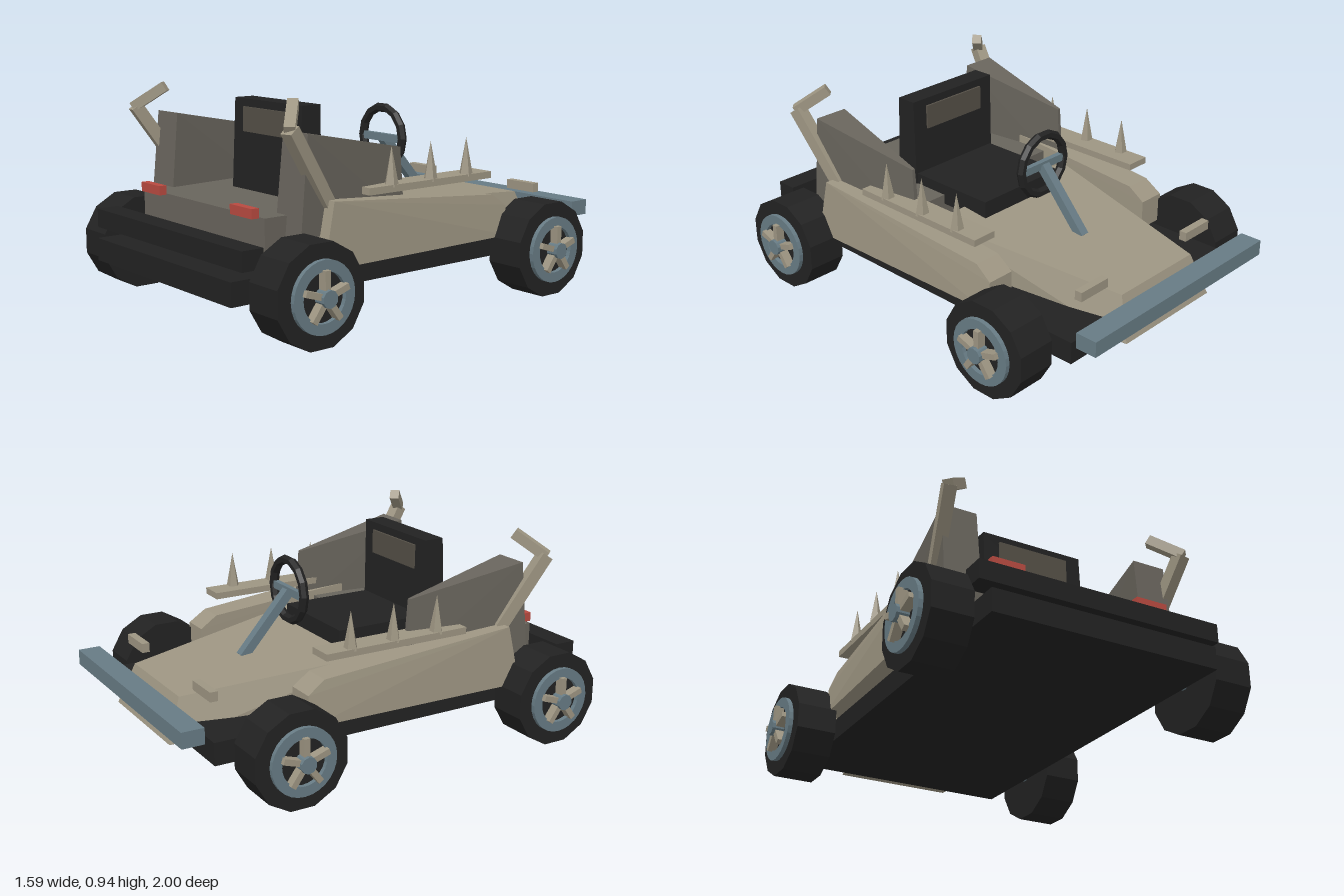
import * as THREE from 'three';
import { ConvexGeometry } from 'three/addons/geometries/ConvexGeometry.js';

const mat = (name, color) => new THREE.MeshStandardMaterial({ name, color, flatShading: true });

export function createModel() {
  const black = mat('black', 0x222222);
  const tan = mat('tan', 0x9d9582);
  const taupe = mat('taupe', 0x68645c);
  const steel = mat('steelBlue', 0x677b84);
  const red = mat('red', 0xb84a40);
  const olive = mat('darkOlive', 0x544f46);

  const model = new THREE.Group();
  model.name = 'buggy';

  const add = (name, geo, material, parent = model) => {
    const mesh = new THREE.Mesh(geo, material);
    mesh.name = name;
    parent.add(mesh);
    return mesh;
  };
  // Box given by its min and max on each axis
  const box = (name, m, x0, x1, y0, y1, z0, z1, parent) => {
    const mesh = add(name, new THREE.BoxGeometry(Math.abs(x1 - x0), y1 - y0, z1 - z0), m, parent);
    mesh.position.set((x0 + x1) / 2, (y0 + y1) / 2, (z0 + z1) / 2);
    return mesh;
  };
  // Faceted solid from corner points, with x scaled by s for mirroring
  const solid = (name, m, pts, s = 1) =>
    add(name, new ConvexGeometry(pts.map(([x, y, z]) => new THREE.Vector3(x * s, y, z))), m);
  // Square beam between two points
  const beam = (name, m, a, b, w, h = w) => {
    const p = new THREE.Vector3(...a), q = new THREE.Vector3(...b);
    const mesh = add(name, new THREE.BoxGeometry(w, h, p.distanceTo(q)), m);
    mesh.position.copy(p).add(q).multiplyScalar(0.5);
    mesh.lookAt(q);
    return mesh;
  };
  const both = (pts) => pts.flatMap(([x, y, z]) => [[x, y, z], [-x, y, z]]);

  // Chassis, bumpers and rear deck
  box('chassis', black, -0.52, 0.52, 0.165, 0.265, -0.84, 1.0);
  box('rearBumper', black, -0.56, 0.56, 0.305, 0.388, 0.875, 0.975);
  box('frontBumper', steel, -0.565, 0.565, 0.29, 0.36, -1.0, -0.9);
  box('rearDeck', taupe, -0.458, 0.458, 0.265, 0.475, 0.17, 0.795);

  // Tapered hood and nose
  solid('hood', tan, both([
    [0.42, 0.46, 0.04], [0.43, 0.265, 0.1],
    [0.235, 0.37, -0.86], [0.28, 0.187, -0.93], [0.29, 0.187, -0.84],
  ]));

  // Seat with headrest panel
  box('seatCushion', black, -0.238, 0.238, 0.43, 0.525, -0.09, 0.36);
  solid('seatBack', black, both([
    [0.245, 0.875, 0.35], [0.245, 0.875, 0.445], [0.245, 0.47, 0.345], [0.245, 0.47, 0.465],
  ]));
  box('headrestPanel', olive, -0.17, 0.17, 0.73, 0.84, 0.34, 0.457);

  // Steering wheel and column
  const wheelRim = add('steeringWheel', new THREE.TorusGeometry(0.137, 0.021, 6, 14), black);
  wheelRim.position.set(0, 0.67, -0.21);
  box('steeringSpoke', steel, -0.13, 0.13, 0.65, 0.685, -0.222, -0.198);
  beam('steeringColumn', steel, [0, 0.4, -0.45], [0, 0.665, -0.215], 0.042);

  for (const s of [-1, 1]) {
    // Side pod with sloped front end
    solid('sidePod', tan, [
      [0.43, 0.535, 0.56], [0.6, 0.535, 0.56], [0.43, 0.265, 0.62], [0.61, 0.265, 0.62],
      [0.44, 0.455, -0.36], [0.565, 0.455, -0.36], [0.44, 0.4, -0.44], [0.57, 0.4, -0.44],
      [0.44, 0.265, -0.44], [0.585, 0.265, -0.44],
    ], s);

    // Spiked rail
    box('spikeRail', tan, s * 0.45, s * 0.565, 0.53, 0.56, -0.35, 0.35);
    for (const z of [-0.22, -0.01, 0.21]) {
      const spike = add('spike', new THREE.ConeGeometry(0.032, 0.17, 5), tan);
      spike.position.set(s * 0.538, 0.635, z);
    }

    // Rear wedge fin
    solid('rearFin', taupe, [
      [0.465, 0.7, 0.11], [0.48, 0.7, 0.11], [0.46, 0.4, 0.09], [0.485, 0.4, 0.09],
      [0.395, 0.805, 0.655], [0.555, 0.805, 0.655], [0.39, 0.39, 0.695], [0.56, 0.39, 0.695],
    ], s);

    // Bent horn
    beam('hornStrut', tan, [s * 0.535, 0.52, 0.55], [s * 0.578, 0.83, 0.76], 0.055);
    beam('hornTip', tan, [s * 0.585, 0.825, 0.765], [s * 0.475, 0.92, 0.665], 0.045);

    // Lamps
    box('tailLight', red, s * 0.27, s * 0.42, 0.47, 0.511, 0.795, 0.83);
    box('headLamp', tan, s * 0.265, s * 0.43, 0.4, 0.442, -0.81, -0.775);
  }

  // Road wheels, built facing +x and turned for the other side
  const xCyl = (name, m, r, x0, x1, sides, parent) => {
    const geo = new THREE.CylinderGeometry(r, r, x1 - x0, sides);
    geo.rotateY(Math.PI / sides).rotateZ(Math.PI / 2);
    add(name, geo, m, parent).position.x = (x0 + x1) / 2;
  };
  const ringShape = new THREE.Shape().absarc(0, 0, 0.147, 0, Math.PI * 2);
  ringShape.holes.push(new THREE.Path().absarc(0, 0, 0.102, 0, Math.PI * 2, true));
  const ringGeo = new THREE.ExtrudeGeometry(ringShape, { depth: 0.025, bevelEnabled: false, curveSegments: 14 });
  ringGeo.rotateY(Math.PI / 2);

  for (const s of [-1, 1]) for (const z of [-0.565, 0.735]) {
    const wheel = new THREE.Group();
    wheel.name = 'wheel';
    wheel.position.set(0, 0.21, z);
    if (s < 0) wheel.rotation.y = Math.PI;
    model.add(wheel);
    xCyl('tire', black, 0.215, 0.56, 0.74, 12, wheel);
    xCyl('axle', steel, 0.026, 0.5, 0.56, 8, wheel);
    add('rimRing', ringGeo, steel, wheel).position.x = 0.735;
    for (let i = 0; i < 5; i++) {
      const arm = new THREE.Group();
      arm.name = 'spokeArm';
      arm.rotation.x = (i * Math.PI * 2) / 5;
      wheel.add(arm);
      box('spoke', tan, 0.74, 0.78, 0.02, 0.108, -0.013, 0.013, arm);
    }
    xCyl('hub', steel, 0.036, 0.735, 0.795, 10, wheel);
  }
  return model;
}
